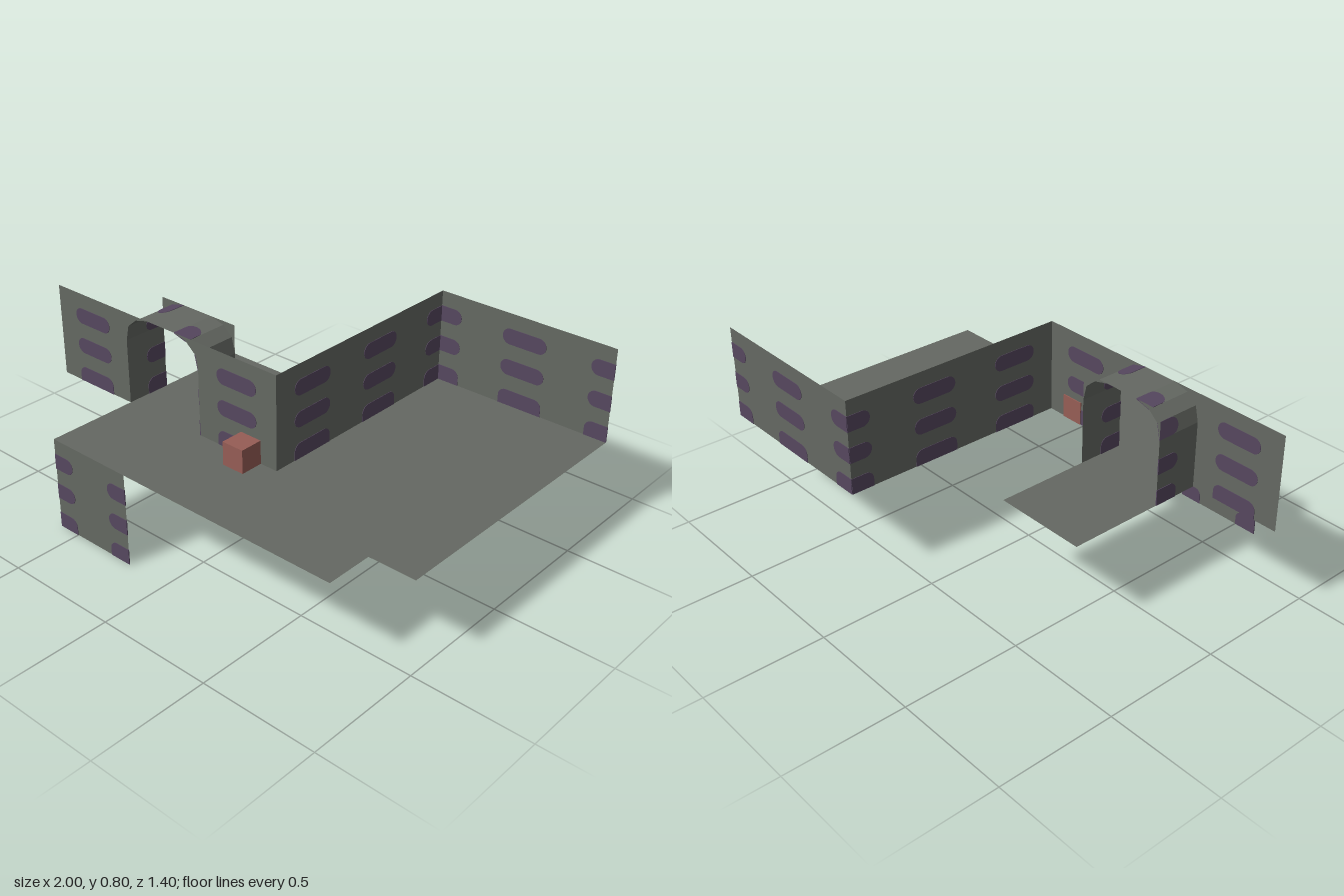
import * as THREE from 'three';

const mat = (name, color, side = THREE.FrontSide) => {
  const m = new THREE.MeshStandardMaterial({ color, side });
  m.name = name;
  return m;
};

export function createModel() {
  const root = new THREE.Group();
  root.name = 'corridorSection';
  const grey = mat('stone grey', 0x646862, THREE.DoubleSide);
  const purple = mat('slot purple', 0x56475f);
  const red = mat('brick red', 0x965d55);

  const mesh = (parent, name, geo, material) => {
    const m = new THREE.Mesh(geo, material);
    m.name = name;
    parent.add(m);
    return m;
  };
  const polygon = (pts) =>
    new THREE.ShapeGeometry(new THREE.Shape(pts.map(([x, y]) => new THREE.Vector2(x, y))));

  // Thin slot plate, centred on its wall; ends cut by a wall edge stay square
  const H = 0.067;
  const slotGeometry = (a, b, y, roundA, roundB, roundBottom) => {
    const s = new THREE.Shape(), r = H / 2, top = y + H;
    const ra = roundA ? r : 0, rb = roundB ? r : 0;
    const la = roundBottom ? ra : 0, lb = roundBottom ? rb : 0;
    s.moveTo(a + la, y);
    s.lineTo(b - lb, y);
    if (lb) s.absarc(b - r, y + r, r, -Math.PI / 2, 0);
    else s.lineTo(b, y);
    s.lineTo(b, top - rb);
    if (rb) s.absarc(b - r, top - r, r, 0, Math.PI / 2);
    s.lineTo(a + ra, top);
    if (ra) s.absarc(a + r, top - r, r, Math.PI / 2, Math.PI);
    s.lineTo(a, y + la);
    if (la) s.absarc(a + r, y + r, r, Math.PI, Math.PI * 1.5);
    const g = new THREE.ExtrudeGeometry(s, { depth: 0.004, bevelEnabled: false, curveSegments: 5 });
    return g.translate(0, 0, -0.002);
  };

  // Wall: flat outline plus columns of three slots [from, to, roundFrom, roundTo]
  const wall = (name, outline, columns, y0 = 0.4) => {
    const g = new THREE.Group();
    g.name = name;
    mesh(g, name + 'Panel', polygon(outline), grey);
    for (const [a, b, ra, rb] of columns)
      for (let i = 0; i < 3; i++)
        mesh(g, 'slot', slotGeometry(a, b, y0 + i * 0.134, ra, rb, i > 0), purple);
    root.add(g);
    return g;
  };
  const rect = (a, b, y0, y1) => [[a, y0], [b, y0], [b, y1], [a, y1]];

  // Floor with the passage leading under the arch
  const floor = [[-0.6, -0.3], [-0.2, -0.3], [-0.2, 0.3], [0.2, 0.3], [0.2, -0.7],
    [1, -0.7], [1, 0.5], [0.8, 0.5], [0.8, 0.7], [-0.6, 0.7]];
  const floorGeo = polygon(floor.map(([x, z]) => [x, -z])).rotateX(-Math.PI / 2);
  mesh(root, 'floor', floorGeo, grey).position.y = 0.4;

  // Left half of the arch curve; mirrored about x = -0.4
  const arch = [[-0.6, 0.68], [-0.585, 0.745], [-0.54, 0.783], [-0.475, 0.8]];
  const flip = (pts) => pts.map(([x, y]) => [-0.8 - x, y]);

  // Front wall on both sides of the arch
  wall('frontWallRight', [[-1, 0.4], [-0.6, 0.4], ...arch, [-1, 0.8]], [[-0.9, -0.7, 1, 1]])
    .position.z = 0.3;
  wall('frontWallLeft', [[0.2, 0.4], [-0.2, 0.4], ...flip(arch), [0.2, 0.8]], [[-0.1, 0.1, 1, 1]])
    .position.z = 0.3;

  // Corner pieces at the rear of the arch
  const corner = [...arch, [-0.6, 0.8]];
  for (const pts of [corner, flip(corner)])
    mesh(root, 'rearArchCorner', polygon(pts), grey).position.z = 0.1;

  // Back wall, lower front wall and side wall
  wall('backWall', rect(0.2, 1, 0.4, 0.8),
    [[0.2, 0.3, 0, 1], [0.5, 0.7, 1, 1], [0.9, 1, 1, 0]]).position.z = -0.7;
  wall('lowerWall', rect(-0.6, -0.2, 0, 0.4),
    [[-0.6, -0.5, 0, 1], [-0.3, -0.2, 1, 0]], 0).position.z = 0.7;
  const side = wall('sideWall', rect(-0.7, 0.3, 0.4, 0.8),
    [[-0.7, -0.6, 0, 1], [-0.4, -0.2, 1, 1], [0, 0.2, 1, 1]]);
  side.rotation.y = -Math.PI / 2;
  side.position.x = 0.2;

  // Arch tunnel: one strip per segment, with local x along z and y along the curve
  const strip = (p, q, slots, isLeft) => {
    const dir = new THREE.Vector3(q[0] - p[0], q[1] - p[1], 0);
    const len = dir.length();
    dir.normalize();
    const along = new THREE.Vector3(0, 0, 1);
    const g = new THREE.Group();
    g.name = 'tunnelStrip';
    g.quaternion.setFromRotationMatrix(
      new THREE.Matrix4().makeBasis(along, dir, along.clone().cross(dir)));
    g.position.set(p[0], p[1], 0);
    mesh(g, 'tunnelPanel', polygon(rect(0.1, 0.3, 0, len)), grey);
    for (const y of slots) {
      const geo = isLeft ? slotGeometry(0.2, 0.3, y, 1, 0, y > 0 || p[1] > 0.4)
        : slotGeometry(0.1, 0.2, y, 0, 1, y > 0 || p[1] > 0.4);
      mesh(g, 'slot', geo, purple);
    }
    root.add(g);
  };
  const profile = [[-0.6, 0.4], ...arch];
  const slotRows = [[0, 0.134], [0], [], [0]];
  [profile, flip(profile)].forEach((pts, k) =>
    slotRows.forEach((rows, i) => strip(pts[i], pts[i + 1], rows, k === 1)));
  strip([-0.475, 0.8], [-0.325, 0.8], [], false);

  // Small block set through the front wall
  mesh(root, 'block', new THREE.BoxGeometry(0.1, 0.1, 0.104), red).position.set(0.07, 0.45, 0.347);

  return root;
}
